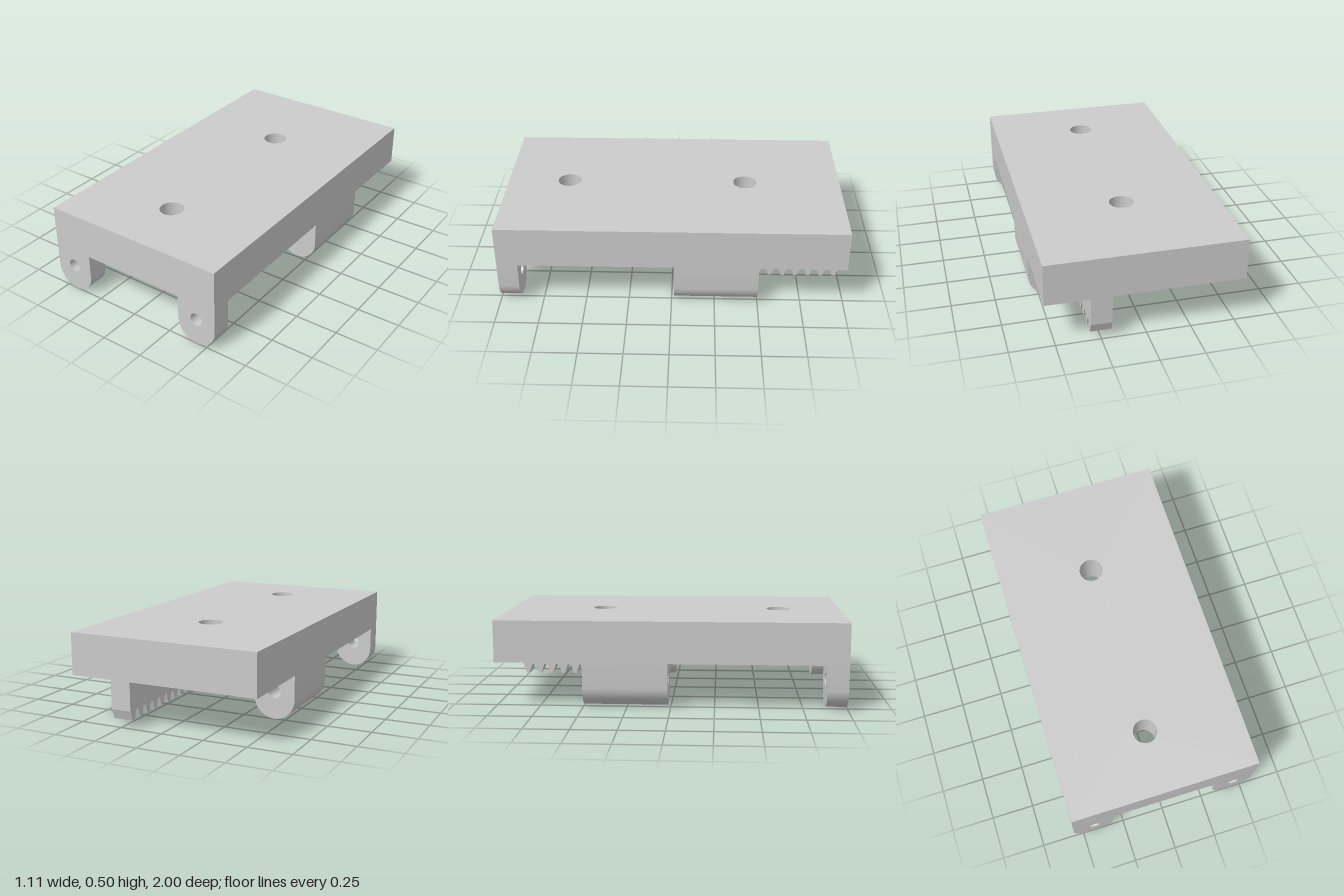
import * as THREE from 'three';
import { toCreasedNormals } from 'three/addons/utils/BufferGeometryUtils.js';

const TOP = 0.5, UNDER = 0.26, HALF_W = 0.555;
const material = new THREE.MeshStandardMaterial({ color: 0xcccccc });

function circleHole(x, y, r) {
  return new THREE.Path().absarc(x, y, r, 0, Math.PI * 2, true);
}

function extrude(name, shape, depth) {
  const raw = new THREE.ExtrudeGeometry(shape, { depth, bevelEnabled: false, curveSegments: 40 });
  const mesh = new THREE.Mesh(toCreasedNormals(raw, Math.PI / 6), material);
  mesh.name = name;
  return mesh;
}

// Flat plate with two round screw holes
function makePlate() {
  const s = new THREE.Shape();
  s.moveTo(-HALF_W, -1).lineTo(HALF_W, -1).lineTo(HALF_W, 1).lineTo(-HALF_W, 1).closePath();
  // shape y becomes -z once the plate is laid flat
  s.holes.push(circleHole(-0.005, 0.43, 0.07), circleHole(-0.005, -0.63, 0.07));
  const plate = extrude('plate', s, TOP - UNDER);
  plate.rotation.x = -Math.PI / 2;
  plate.position.y = UNDER;
  return plate;
}

// Round-bottomed lug with a rod bore, from zBack to zFront
function makeLug(name, x, zBack, zFront) {
  const r = 0.12;
  const s = new THREE.Shape();
  s.moveTo(-r, UNDER).lineTo(-r, r);
  s.absarc(0, r, r, Math.PI, Math.PI * 2, false);
  s.lineTo(r, UNDER).closePath();
  s.holes.push(circleHole(0, 0.157, 0.037));
  const lug = extrude(name, s, zFront - zBack);
  lug.position.set(x, 0, zBack);
  return lug;
}

// Toothed rack hanging from the plate beside the left rear lug
function makeRack() {
  const teeth = 10, pitch = 0.0767, root = 0.097, tip = 0.04;
  const s = new THREE.Shape();
  s.moveTo(1, UNDER).lineTo(1, root);
  for (let i = 0; i < teeth; i++) {
    const c = 0.968 - i * pitch;
    s.lineTo(c + 0.029, root).lineTo(c + 0.009, tip);
    s.lineTo(c - 0.009, tip).lineTo(c - 0.029, root);
  }
  const end = 1 - teeth * pitch;
  s.lineTo(end, root).lineTo(end, UNDER).closePath();
  const rack = extrude('toothedRack', s, 0.118);
  rack.rotation.y = Math.PI / 2; // shape x becomes -z, depth becomes x
  rack.position.x = 0.189;
  return rack;
}

export function createModel() {
  const group = new THREE.Group();
  group.name = 'slidingCarriage';
  group.add(makePlate(), makeRack());
  for (const [side, sign] of [['left', 1], ['right', -1]]) {
    group.add(makeLug(side + 'FrontLug', sign * 0.435, 0.88, 1));
    group.add(makeLug(side + 'RearLug', sign * 0.435, -0.5, -0.015));
  }
  return group;
}
